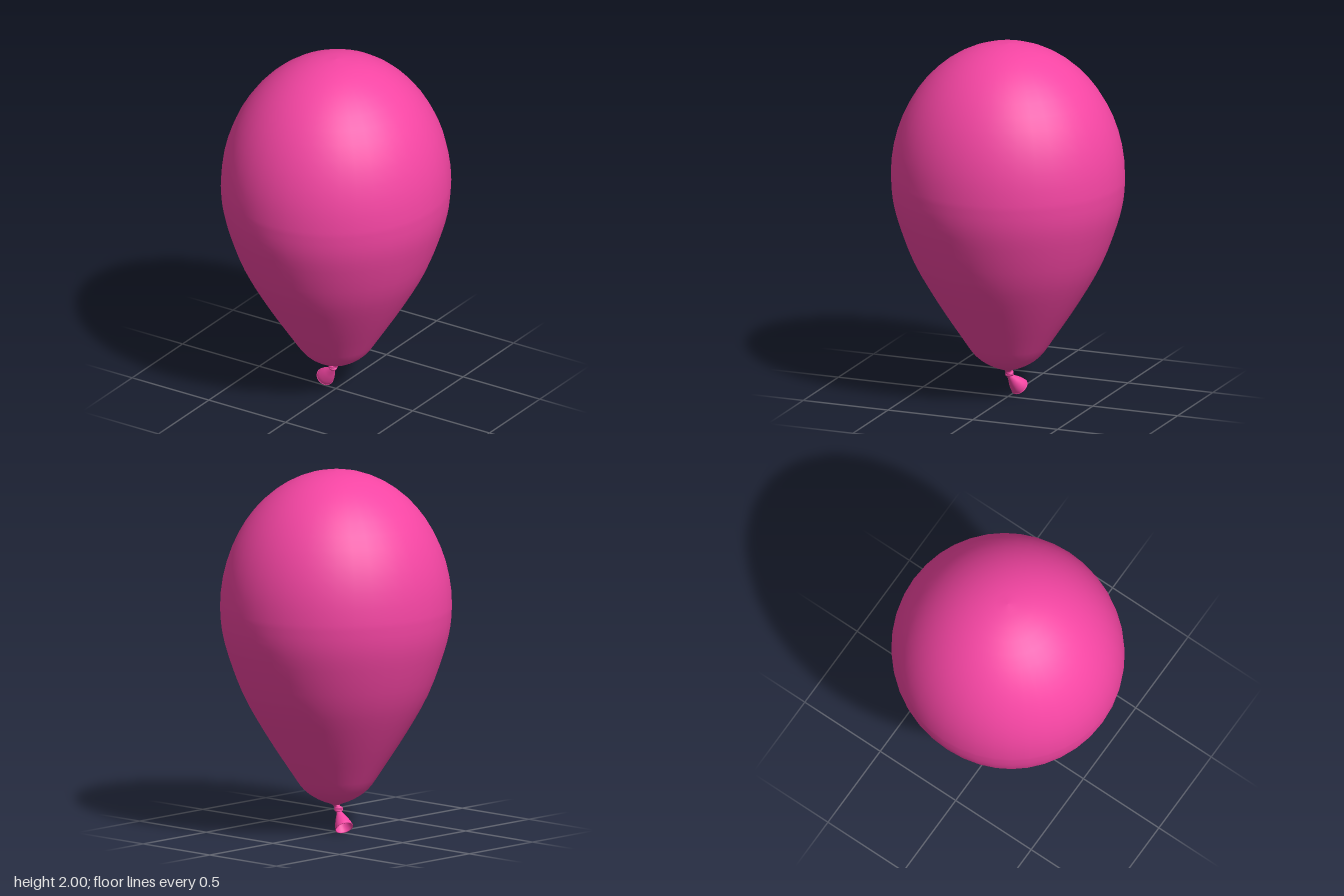
import * as THREE from 'three';

const material = new THREE.MeshStandardMaterial({ color: 0xf545a3, side: THREE.DoubleSide });
const vec = (x, y, z) => new THREE.Vector3(x, y, z);

function addPart(group, name, geometry) {
  const mesh = new THREE.Mesh(geometry, material);
  mesh.name = name;
  group.add(mesh);
  return mesh;
}

// Smooth profile through [radius, height] pairs
const profile = (pairs, steps) =>
  new THREE.SplineCurve(pairs.map(([r, y]) => new THREE.Vector2(r, y))).getPoints(steps);

export function createModel() {
  const balloon = new THREE.Group();
  balloon.name = 'balloon';

  // Body: tapering lower half, elliptical dome above the widest ring
  const points = profile([
    [0.012, 0.135], [0.022, 0.152], [0.1, 0.185], [0.175, 0.24], [0.245, 0.34],
    [0.385, 0.56], [0.5, 0.77], [0.58, 0.99], [0.613, 1.13], [0.622, 1.25],
  ], 27);
  const domeSteps = 14;
  for (let i = 1; i <= domeSteps; i++) {
    const a = (i / domeSteps) * Math.PI / 2;
    points.push(new THREE.Vector2(Math.max(0, 0.622 * Math.cos(a)), 1.25 + 0.75 * Math.sin(a)));
  }
  const body = addPart(balloon, 'body', new THREE.LatheGeometry(points, 40));
  body.scale.z = 1.033;

  // Neck: short twisted stem running from the body through the knot
  const neckPath = new THREE.CatmullRomCurve3([
    vec(0, 0.16, 0), vec(-0.012, 0.14, 0), vec(-0.02, 0.122, 0), vec(-0.03, 0.1, -0.004),
  ]);
  addPart(balloon, 'neck', new THREE.TubeGeometry(neckPath, 10, 0.014, 12));

  // Knot: two crossed loops of rubber
  const knot = new THREE.Group();
  knot.name = 'knot';
  knot.position.set(-0.02, 0.127, 0);
  for (const [rx, ry] of [[1.25, 0.3], [1.9, -0.45]]) {
    const loop = addPart(knot, 'knotLoop', new THREE.TorusGeometry(0.016, 0.009, 10, 24));
    loop.rotation.set(rx, ry, 0);
  }
  balloon.add(knot);

  // Nozzle: flared open mouth with a rolled lip, tilted to one side
  const start = vec(-0.022, 0.112, 0);
  const end = vec(-0.09, 0.037, -0.03);
  const length = start.distanceTo(end);
  const nozzle = new THREE.Group();
  nozzle.name = 'nozzle';
  nozzle.position.copy(start);
  nozzle.quaternion.setFromUnitVectors(vec(0, -1, 0), end.clone().sub(start).normalize());
  const flare = profile([
    [0.049, -length], [0.046, -0.085], [0.036, -0.055], [0.024, -0.027], [0.013, 0],
  ], 14);
  addPart(nozzle, 'flare', new THREE.LatheGeometry(flare, 28));
  const lip = addPart(nozzle, 'lip', new THREE.TorusGeometry(0.0485, 0.0025, 8, 28));
  lip.rotation.x = Math.PI / 2;
  lip.position.y = -length;
  balloon.add(nozzle);

  return balloon;
}
